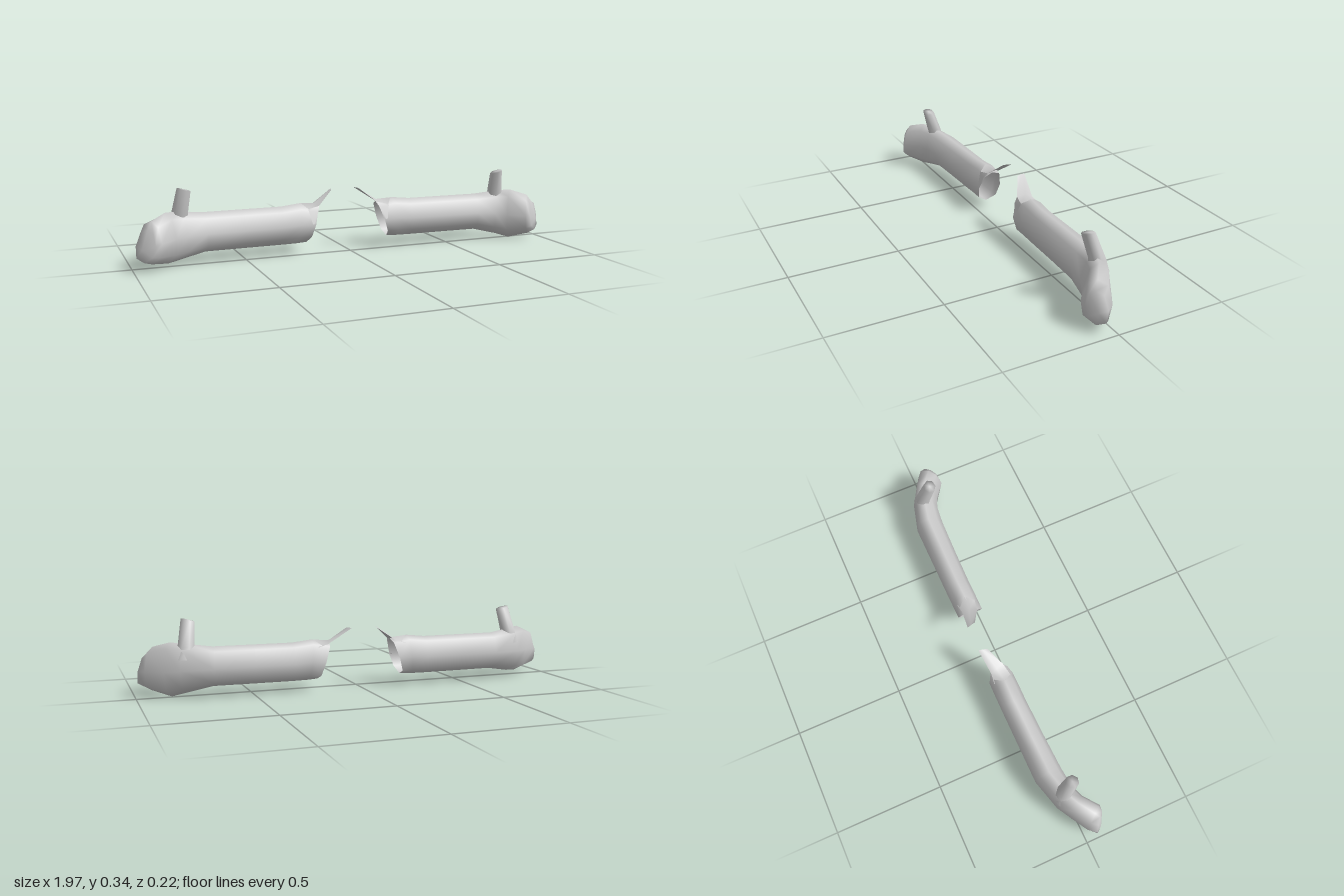
import * as THREE from 'three';

const grey = new THREE.MeshStandardMaterial({ color: 0xcccccc, side: THREE.DoubleSide });

// Skin through rings of [x, y, z] points; s = -1 mirrors across x.
function loft(name, rings, s, { closed = true, cap = null } = {}) {
  const n = rings[0].length;
  const pos = rings.flat().flatMap(([x, y, z]) => [x * s, y, z]);
  const index = [];
  const tri = (a, b, c) => (s > 0 ? index.push(a, b, c) : index.push(a, c, b));
  const cols = closed ? n : n - 1;
  for (let k = 0; k < rings.length - 1; k++) {
    for (let j = 0; j < cols; j++) {
      const a = k * n + j, b = k * n + ((j + 1) % n);
      tri(a, b, b + n);
      tri(a, b + n, a + n);
    }
  }
  if (cap) {
    const c = pos.length / 3, base = (rings.length - 1) * n;
    pos.push(cap[0] * s, cap[1], cap[2]);
    for (let j = 0; j < n; j++) tri(c, base + j, base + ((j + 1) % n));
  }
  const g = new THREE.BufferGeometry();
  g.setAttribute('position', new THREE.Float32BufferAttribute(pos, 3));
  g.setIndex(index);
  g.computeVertexNormals();
  const mesh = new THREE.Mesh(g, grey);
  mesh.name = name;
  return mesh;
}

// Unit outline: u runs back to front, v bottom to top.
const outline = [[0.48, 1], [0.8, 0.87], [1, 0.5], [0.93, 0.18], [0.55, 0], [0.12, 0.12], [0, 0.48], [0.14, 0.9]];

// Section spanned between a back and a front point, leaning by `lean` in x at the top.
const section = ([xb, zb, xf, zf, y0, y1, lean = 0]) => outline.map(([u, v]) => [
  xb + (xf - xb) * u + lean * v,
  y0 + (y1 - y0) * v,
  zb + (zf - zb) * u,
]);

function arm(s) {
  const g = new THREE.Group();
  g.name = s > 0 ? 'leftArm' : 'rightArm';
  const low = s > 0 ? 0 : 0.017; // the left hand hangs slightly lower

  // sleeve and mitten-like hand, open at the shoulder
  g.add(loft('sleeveAndHand', [
    [0.205, -0.108, 0.2, 0.01, 0.05, 0.218, -0.055],
    [0.25, -0.11, 0.25, 0.01, 0.047, 0.232, -0.02],
    [0.32, -0.11, 0.32, 0.01, 0.046, 0.222],
    [0.5, -0.11, 0.5, 0.014, 0.046, 0.222],
    [0.68, -0.11, 0.67, 0.02, 0.046, 0.222],
    [0.82, -0.072, 0.76, 0.03, 0.02 + low / 3, 0.236],
    [0.885, -0.035, 0.815, 0.05, 0.002 + low, 0.241],
    [0.965, 0.01, 0.89, 0.105, 0.025 + low / 2, 0.218, -0.01],
    [0.998, 0.045, 0.925, 0.104, 0.045, 0.185, -0.025],
  ].map(section), s, { cap: [0.965, 0.1, 0.075] }));

  // thumb, leaning forward and inward
  const thumbRing = (x, y, z, rx, rz, tiltX, tiltZ) => Array.from({ length: 7 }, (_, i) => {
    const a = (i / 7) * Math.PI * 2, c = Math.cos(a), t = Math.sin(a);
    return [x + rx * c, y + tiltX * c + tiltZ * t, z - rz * t];
  });
  g.add(loft('thumb', [
    thumbRing(0.79, 0.17, -0.035, 0.05, 0.04, 0, 0),
    thumbRing(0.785, 0.225, -0.028, 0.037, 0.035, 0, 0),
    thumbRing(0.77, 0.335, 0.008, 0.03, 0.028, 0.008, 0),
  ], s, { cap: [0.77, 0.337, 0.008] }));

  // pointed shoulder flap
  g.add(loft('shoulderFlap', [
    [[0.06, 0.281, -0.108], [0.064, 0.283, -0.09], [0.07, 0.281, -0.068]],
    [[0.165, 0.212, -0.092], [0.155, 0.226, -0.062], [0.145, 0.218, -0.025]],
    [[0.21, 0.2, -0.098], [0.225, 0.231, -0.053], [0.2, 0.208, -0.014]],
  ], s, { closed: false }));

  // front web joining the flap to the open shoulder rim
  g.add(loft('shoulderWeb', [
    [[0.145, 0.218, -0.025], [0.155, 0.195, -0.008], [0.177, 0.135, 0.009]],
    [[0.2, 0.208, -0.014], [0.2, 0.2, -0.011], [0.185, 0.134, 0.01]],
  ], s, { closed: false }));
  return g;
}

export function createModel() {
  const model = new THREE.Group();
  model.name = 'pairOfArms';
  model.add(arm(1), arm(-1));
  return model;
}
